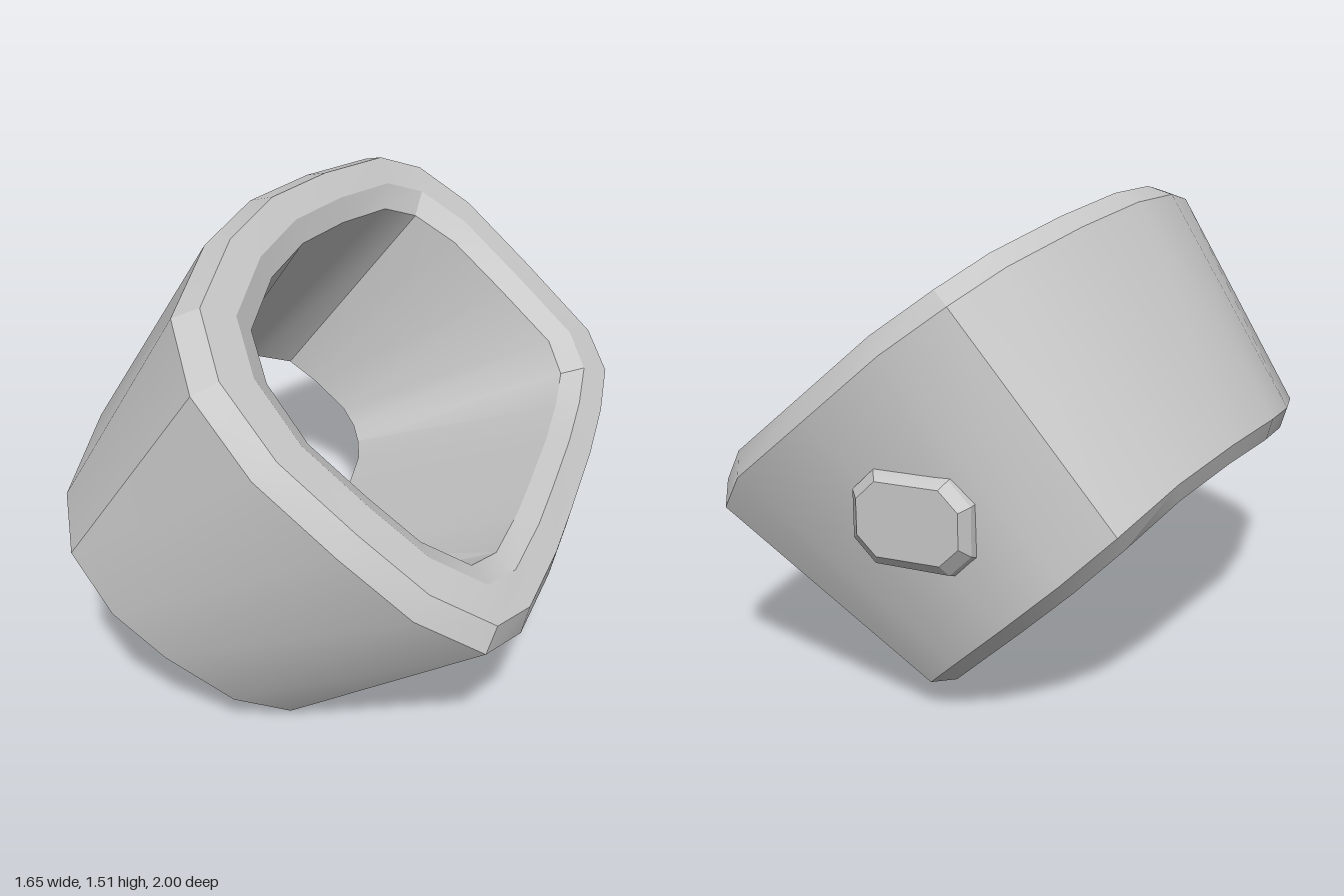
import * as THREE from 'three';
import { toCreasedNormals } from 'three/addons/utils/BufferGeometryUtils.js';

const V = (x, y, z) => new THREE.Vector3(x, y, z);

// Outer edge of the upper rim, from the front round by +x
const UPPER = [
  [-0.04, 1.26, 0.97], [0.16, 1.05, 0.99], [0.4, 0.84, 0.945], [0.61, 0.65, 0.88], [0.78, 0.5, 0.74],
  [0.81, 0.45, 0.53], [0.785, 0.47, 0.22], [0.745, 0.485, -0.05], [0.69, 0.51, -0.4], [0.63, 0.54, -0.7],
  [0.57, 0.6, -0.92], [0.47, 0.73, -0.972], [0.2, 0.955, -0.985], [-0.06, 1.18, -0.97], [-0.24, 1.325, -0.89],
  [-0.32, 1.41, -0.7], [-0.35, 1.465, -0.3], [-0.36, 1.49, 0.07], [-0.32, 1.465, 0.42], [-0.21, 1.39, 0.79],
].map((p) => V(...p));

// Matching outer edge of the lower rim
const LOWER = [
  [-0.51, 0.61, 0.97], [-0.35, 0.45, 1.0], [-0.2, 0.3, 0.95], [-0.02, 0.13, 0.85], [0.1, 0.02, 0.7],
  [0.13, 0.0, 0.5], [0.12, 0.04, 0.25], [0.1, 0.055, 0], [0.07, 0.06, -0.35], [0.01, 0.065, -0.62],
  [-0.09, 0.1, -0.78], [-0.22, 0.22, -0.84], [-0.4, 0.385, -0.87], [-0.57, 0.545, -0.84], [-0.71, 0.69, -0.76],
  [-0.8, 0.8, -0.55], [-0.82, 0.82, -0.2], [-0.83, 0.82, 0.12], [-0.77, 0.77, 0.42], [-0.65, 0.69, 0.79],
].map((p) => V(...p));

const AXIS = V(0.67, 0.745, 0).normalize();
const ACROSS = V(0.745, -0.67, 0).normalize();

// Shrinks a loop by d in its own plane and lifts it along the axis;
// slant draws the +x side further in towards the back
function inset(loop, centre, halfAcross, halfZ, d, lift, slant = 0) {
  return loop.map((p) => {
    const r = p.clone().sub(centre);
    const a = r.dot(ACROSS);
    const pull = slant * Math.max(0, a / halfAcross) * (1 - p.z);
    return centre.clone()
      .addScaledVector(ACROSS, a * (1 - d / halfAcross) - pull)
      .addScaledVector(AXIS, r.dot(AXIS) + lift)
      .add(V(0, 0, r.z * (1 - 1.15 * d / halfZ)));
  });
}
const top = (d, lift) => inset(UPPER, V(0.225, 0.97, 0), 0.79, 0.98, d, lift);
const bottom = (d, lift, slant) => inset(LOWER, V(-0.35, 0.41, 0.06), 0.63, 0.92, d, lift, slant);

// Skin through successive closed loops, with an optional flat cap on the last
function skin(loops, crease, cap = false) {
  const n = loops[0].length;
  const pos = [];
  const tri = (...pts) => pts.forEach((p) => pos.push(p.x, p.y, p.z));
  for (let r = 0; r + 1 < loops.length; r++) {
    for (let i = 0; i < n; i++) {
      const j = (i + 1) % n;
      const a = loops[r][i], b = loops[r][j], c = loops[r + 1][j], d = loops[r + 1][i];
      tri(a, b, c);
      tri(a, c, d);
    }
  }
  if (cap) {
    const last = loops[loops.length - 1];
    for (let i = 1; i + 1 < n; i++) tri(last[0], last[i], last[i + 1]);
  }
  const g = new THREE.BufferGeometry();
  g.setAttribute('position', new THREE.Float32BufferAttribute(pos, 3));
  return toCreasedNormals(g, crease);
}

// Rectangle with clipped corners, its +x end leaning out to the back
function clippedRect(cx, cy, z, hx, hy, clip, lean) {
  const kx = hx - clip, ky = hy - clip;
  return [[kx, -hy], [-kx, -hy], [-hx, -ky], [-hx, ky], [-kx, hy], [kx, hy], [hx, ky], [hx, -ky]]
    .map(([a, b]) => V(cx + a, cy + b, z - a * lean));
}

export function createModel() {
  const group = new THREE.Group();
  const grey = new THREE.MeshStandardMaterial({ color: 0xc8c8c8 });
  grey.name = 'plain grey';
  const add = (name, geometry) => {
    const mesh = new THREE.Mesh(geometry, grey);
    mesh.name = name;
    group.add(mesh);
  };

  const holeTop = top(0.22, 0.03);
  const holeBottom = bottom(0.23, 0.04, 0.12);

  // Flared sleeve
  add('outerWall', skin([LOWER, UPPER], 0.52));
  // Chamfered flat rim round the upper opening
  add('upperRim', skin([UPPER, top(0.045, 0.072), top(0.15, 0.075), holeTop], 0.42));
  add('innerWall', skin([holeTop, holeBottom], 0.52));
  // Rounded lower edge
  add('lowerRim', skin([holeBottom, bottom(0.15, -0.025), bottom(0.06, -0.04), LOWER], 0.6));

  // Raised knob on the back wall
  add('backKnob', skin([
    clippedRect(-0.13, 0.68, -0.86, 0.2, 0.16, 0.07, 0),
    clippedRect(-0.14, 0.69, -0.94, 0.19, 0.145, 0.07, 0.1),
    clippedRect(-0.15, 0.7, -0.98, 0.16, 0.115, 0.06, 0.125),
  ], 0.42, true));

  return group;
}
